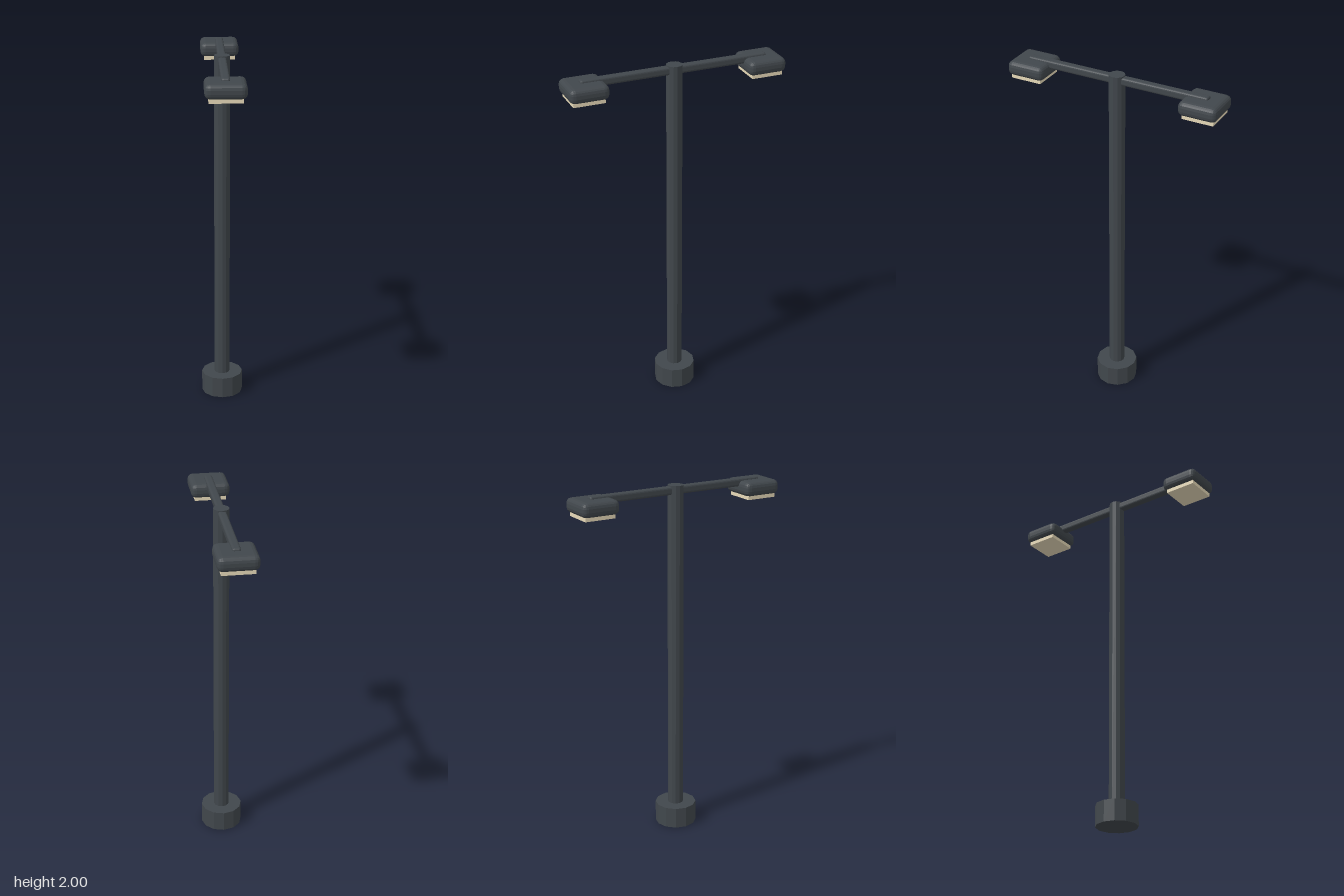
import * as THREE from 'three';
import { RoundedBoxGeometry } from 'three/addons/geometries/RoundedBoxGeometry.js';

export function createModel() {
  const model = new THREE.Group();
  model.name = 'streetLight';

  const metal = new THREE.MeshStandardMaterial({ name: 'darkMetal', color: 0x41474c, flatShading: true });
  const glow = new THREE.MeshStandardMaterial({ name: 'warmLens', color: 0xf0e2c0 });

  const add = (parent, name, geometry, material, x, y, z) => {
    const mesh = new THREE.Mesh(geometry, material);
    mesh.name = name;
    mesh.position.set(x, y, z);
    parent.add(mesh);
  };

  // Footing and pole
  add(model, 'base', new THREE.CylinderGeometry(0.117, 0.117, 0.12, 12), metal, 0, 0.06, 0);
  add(model, 'pole', new THREE.CylinderGeometry(0.044, 0.044, 1.9, 12), metal, 0, 1.05, 0);

  // Two matching arms, each with a lamp head and a lens beneath it
  for (const [side, name] of [[1, 'front'], [-1, 'back']]) {
    const lamp = new THREE.Group();
    lamp.name = name + 'Lamp';
    add(lamp, 'arm', new RoundedBoxGeometry(0.046, 0.045, 0.53, 2, 0.012), metal, 0, 1.972, side * 0.265);
    add(lamp, 'lampHead', new RoundedBoxGeometry(0.218, 0.08, 0.218, 2, 0.03), metal, 0, 1.942, side * 0.505);
    add(lamp, 'lens', new THREE.BoxGeometry(0.176, 0.022, 0.176), glow, 0, 1.894, side * 0.507);
    model.add(lamp);
  }
  return model;
}
